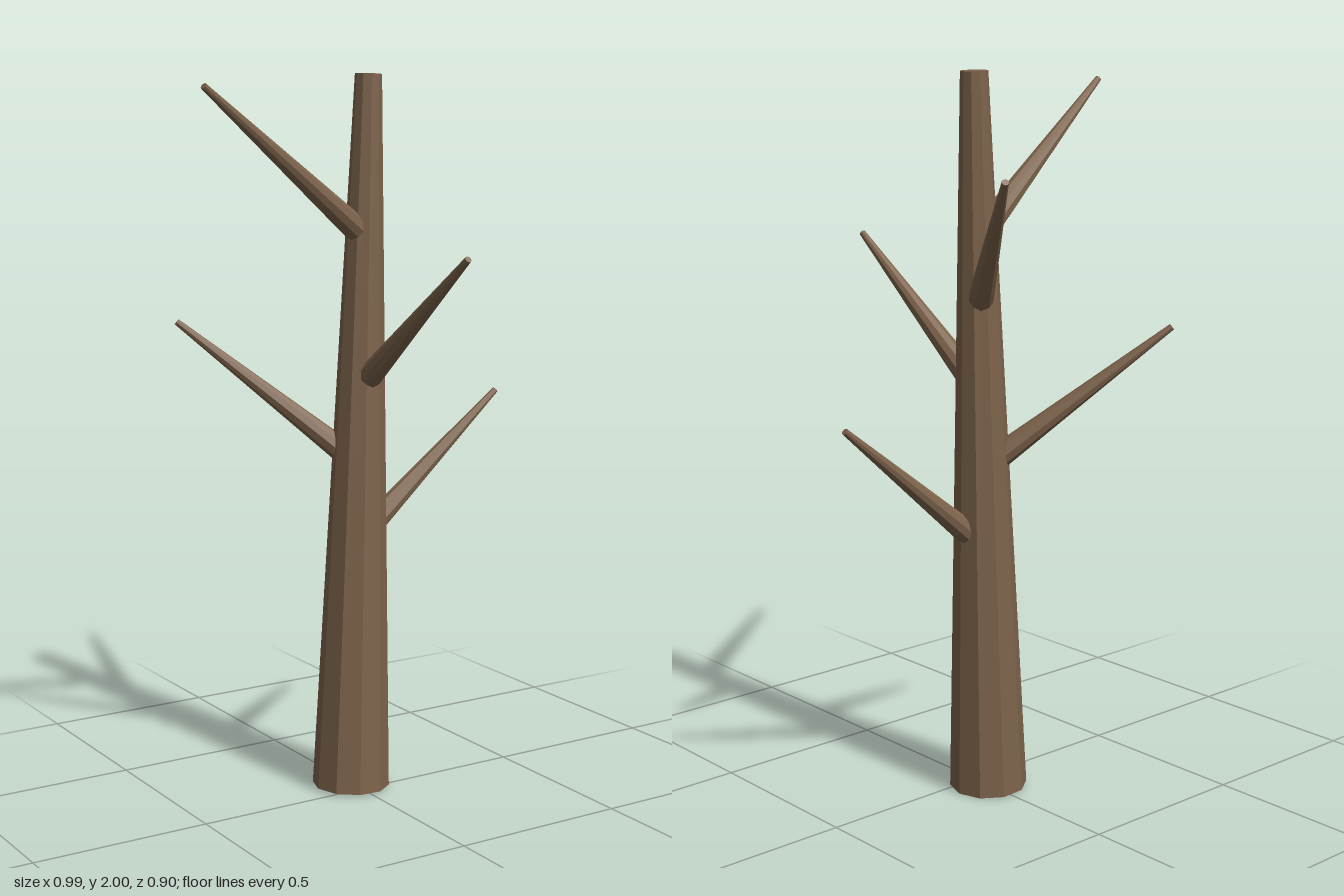
import * as THREE from 'three';

const bark = new THREE.MeshStandardMaterial({ color: 0x7d634b, flatShading: true });
const UP = new THREE.Vector3(0, 1, 0);

// Tapered limb running from one point to another
function limb(name, from, to, r0, r1, sides, twist = 0) {
  const a = new THREE.Vector3(...from);
  const b = new THREE.Vector3(...to);
  const dir = b.clone().sub(a);
  const geometry = new THREE.CylinderGeometry(r1, r0, dir.length(), sides, 1, false, twist);
  const mesh = new THREE.Mesh(geometry, bark);
  mesh.name = name;
  mesh.position.copy(a).add(b).multiplyScalar(0.5);
  mesh.quaternion.setFromUnitVectors(UP, dir.normalize());
  return mesh;
}

export function createModel() {
  const tree = new THREE.Group();
  tree.name = 'bareTree';

  // Leaning trunk
  const base = [-0.006, 0.004, -0.05];
  const top = [0.066, 1.999, -0.071];
  tree.add(limb('trunk', base, top, 0.109, 0.037, 10, Math.PI / 2));

  // Branches: name, height on the trunk axis, tip
  const branches = [
    ['lowLeftBranch', 0.71, [0.49, 1.102, -0.052]],
    ['lowBackBranch', 0.93, [-0.368, 1.32, -0.384]],
    ['frontBranch', 1.145, [0.037, 1.532, 0.442]],
    ['highBackBranch', 1.375, [0.293, 1.75, -0.441]],
    ['highRightBranch', 1.56, [-0.493, 1.962, 0.034]],
  ];
  for (const [name, y, tip] of branches) {
    const t = y / 2;
    const start = [base[0] + (top[0] - base[0]) * t, y, base[2] + (top[2] - base[2]) * t];
    tree.add(limb(name, start, tip, 0.037, 0.009, 10));
  }
  return tree;
}
